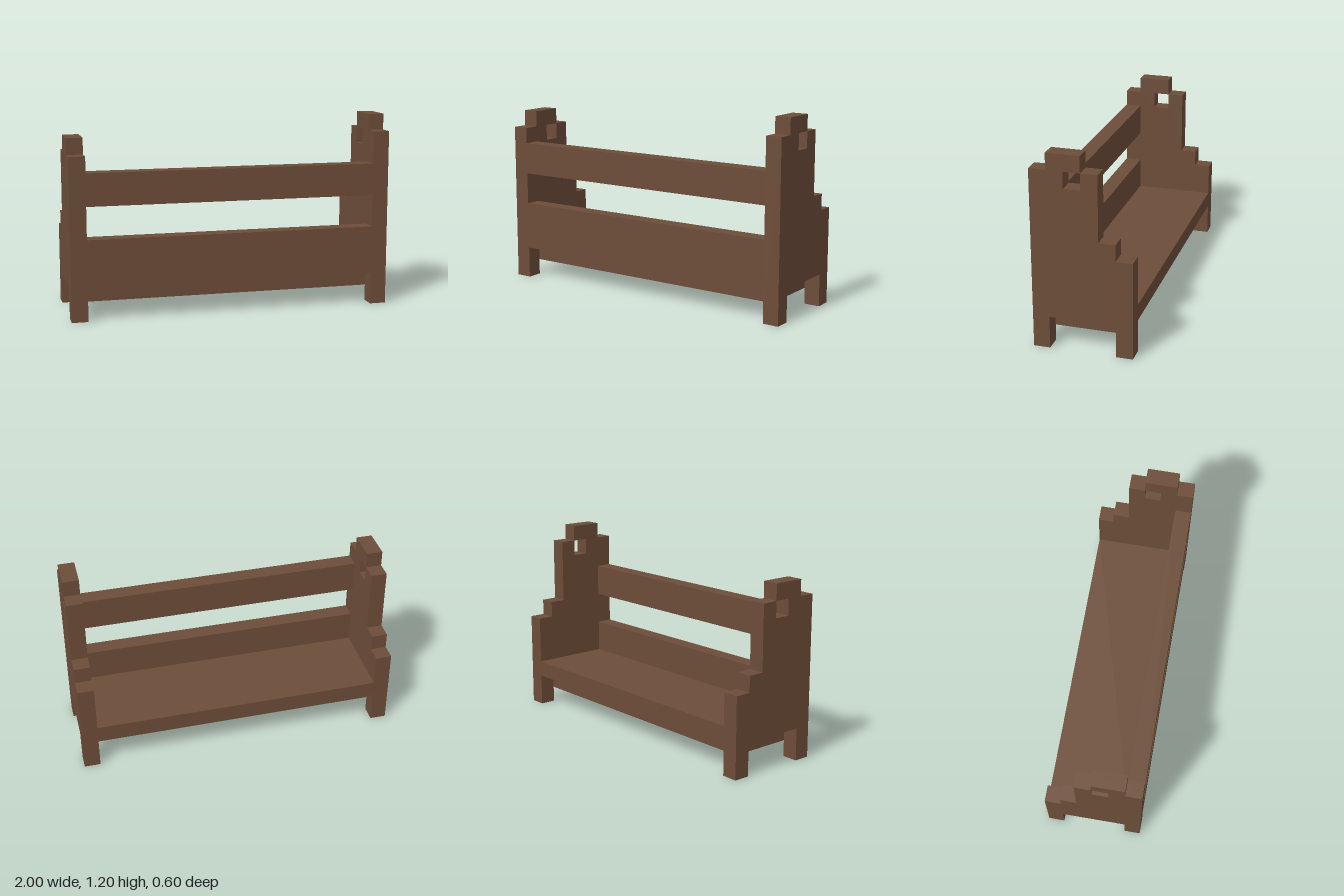
import * as THREE from 'three';

export function createModel() {
  const model = new THREE.Group();
  const wood = new THREE.MeshStandardMaterial({ color: 0x6d4d39 });
  wood.name = 'brown wood';

  // Stepped end panel standing on two legs; drop lowers everything above the seat
  function endPanel(name, outerX, drop) {
    const outline = [
      [0.3, 0], [0.3, 1.1 - drop], [0.2, 1.1 - drop], [0.2, 1.2 - drop],
      [0, 1.2 - drop], [0, 1.1 - drop], [-0.1, 1.1 - drop], [-0.1, 0.7 - drop],
      [-0.2, 0.7 - drop], [-0.2, 0.6 - drop], [-0.3, 0.6 - drop], [-0.3, 0],
      [-0.2, 0], [-0.2, 0.2], [0.2, 0.2], [0.2, 0],
    ];
    const shape = new THREE.Shape(outline.map(([z, y]) => new THREE.Vector2(z, y)));
    // Square handle hole
    const hole = [[0, 1], [0.1, 1], [0.1, 1.1], [0, 1.1]];
    shape.holes.push(new THREE.Path(hole.map(([z, y]) => new THREE.Vector2(z, y - drop))));
    const geometry = new THREE.ExtrudeGeometry(shape, { depth: 0.1, bevelEnabled: false });
    geometry.rotateY(-Math.PI / 2);
    const mesh = new THREE.Mesh(geometry, wood);
    mesh.name = name;
    mesh.position.x = outerX;
    model.add(mesh);
  }
  endPanel('leftEndPanel', 1, 0);
  endPanel('rightEndPanel', -0.9, 0.1);

  // Long boards spanning between the end panels
  function board(name, y0, y1, z0, z1) {
    const mesh = new THREE.Mesh(new THREE.BoxGeometry(1.8, y1 - y0, z1 - z0), wood);
    mesh.name = name;
    mesh.position.set(0, (y0 + y1) / 2, (z0 + z1) / 2);
    model.add(mesh);
  }
  board('seat', 0.2, 0.3, -0.3, 0.2);
  board('underSeat', 0.1, 0.2, -0.2, 0.2);
  board('lowerRail', 0.2, 0.5, 0.2, 0.3);
  board('upperRail', 0.7, 0.9, 0.2, 0.3);

  return model;
}
